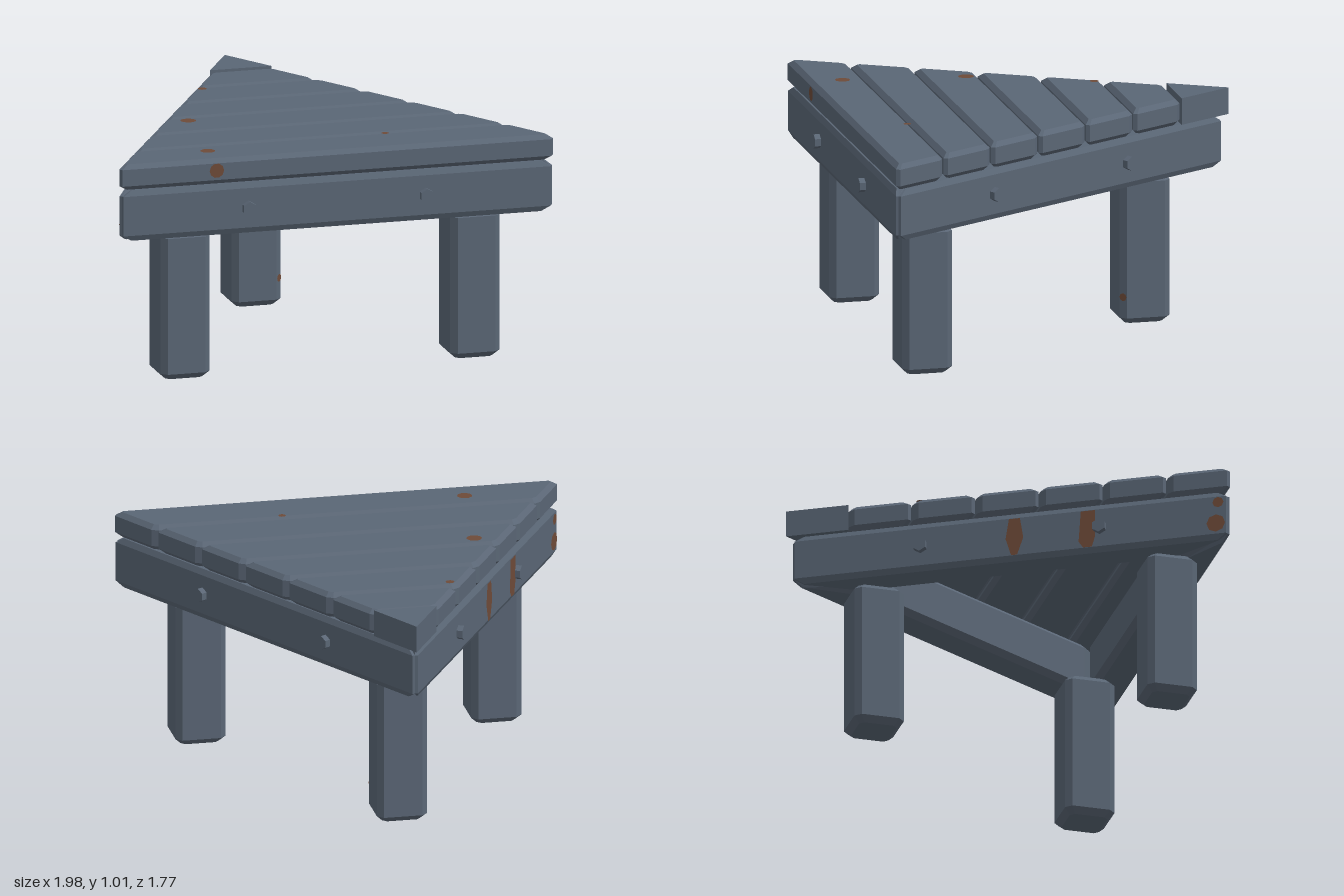
import * as THREE from 'three';

const slate = new THREE.MeshStandardMaterial({ color: 0x5a6675, flatShading: true });
slate.name = 'slate paint';
const rust = new THREE.MeshStandardMaterial({ color: 0x6e4a38, side: THREE.DoubleSide });
rust.name = 'rust';

// Move every corner of a convex outline inward by d (long mitres are capped)
function inset(poly, d) {
  const n = poly.length;
  return poly.map((p, i) => {
    const a = poly[(i + n - 1) % n].clone().sub(p).normalize();
    const b = poly[(i + 1) % n].clone().sub(p).normalize();
    const half = Math.acos(THREE.MathUtils.clamp(a.dot(b), -1, 1)) / 2;
    return p.clone().addScaledVector(a.add(b).normalize(), d * Math.min(1 / Math.sin(half), 2));
  });
}

// Replace every corner with a short straight cut
function cutCorners(poly, d) {
  const n = poly.length;
  return poly.flatMap((p, i) => [poly[(i + n - 1) % n], poly[(i + 1) % n]].map(
    q => p.clone().addScaledVector(q.clone().sub(p).normalize(), d)));
}

// Upright prism with chamfered edges; corners [x, z] run anticlockwise seen from above
function chamferedPrism(corners, y0, y1, c) {
  const base = corners.map(([x, z]) => new THREE.Vector2(x, -z));
  const wide = c ? cutCorners(base, c) : base;
  const narrow = c ? cutCorners(inset(base, c), c * 0.7) : base;
  const rings = c
    ? [[narrow, y0], [wide, y0 + c], [wide, y1 - c], [narrow, y1]]
    : [[wide, y0], [wide, y1]];
  const loops = rings.map(([poly, y]) => poly.map(p => [p.x, y, -p.y]));
  const n = wide.length, out = [];
  for (let r = 0; r + 1 < loops.length; r++) {
    const a = loops[r], b = loops[r + 1];
    for (let i = 0; i < n; i++) {
      const j = (i + 1) % n;
      out.push(...a[i], ...a[j], ...b[j], ...a[i], ...b[j], ...b[i]);
    }
  }
  const low = loops[0], top = loops[loops.length - 1];
  for (let i = 1; i + 1 < n; i++) {
    out.push(...top[0], ...top[i], ...top[i + 1], ...low[0], ...low[i + 1], ...low[i]);
  }
  const g = new THREE.BufferGeometry();
  g.setAttribute('position', new THREE.Float32BufferAttribute(out, 3));
  g.computeVertexNormals();
  return g;
}

function add(parent, name, geometry, material, x = 0, y = 0, z = 0) {
  const m = new THREE.Mesh(geometry, material);
  m.name = name;
  m.position.set(x, y, z);
  parent.add(m);
  return m;
}

export function createModel() {
  const model = new THREE.Group();
  model.name = 'triangularTable';

  // Top boards, narrowing toward the rear point
  const halfWidth = z => (z + 0.885) / 1.745;
  for (let i = 0; i < 6; i++) {
    const f = 0.86 - i * 0.25, b = f - 0.243;
    const F = halfWidth(f), B = halfWidth(b);
    add(model, 'topBoard', chamferedPrism([[-F, f], [F, f], [B, b], [-B, b]], 0.895, 1.01, 0.02), slate);
  }
  const tip = halfWidth(-0.64);
  add(model, 'tipBoard', chamferedPrism([[-tip, -0.64], [tip, -0.64], [0, -0.885]], 0.895, 1.015, 0), slate);

  // Three mitred apron beams with two hex bolts each
  const r = 0.577, t = 0.165, inner = 1 - t * Math.sqrt(3);
  const beam = chamferedPrism([[-1, r], [1, r], [inner, r - t], [-inner, r - t]], 0.665, 0.893, 0.025);
  const bolt = new THREE.CylinderGeometry(0.032, 0.032, 0.03, 6);
  const sides = [['front', 0], ['left', 1], ['right', -1]].map(([name, k]) => {
    const side = new THREE.Group();
    side.name = name + 'Apron';
    side.position.z = 0.283;
    side.rotation.y = k * Math.PI * 2 / 3;
    add(side, 'beam', beam, slate);
    for (const x of [-0.405, 0.405]) {
      add(side, 'bolt', bolt, slate, x, 0.78, r + 0.012).rotation.x = Math.PI / 2;
    }
    model.add(side);
    return side;
  });

  // Three square legs
  const h = 0.1125;
  const leg = chamferedPrism([[-h, h], [h, h], [h, -h], [-h, -h]], 0, 0.668, 0.027);
  for (const [x, z] of [[-0.662, 0.662], [0.662, 0.662], [0, -0.485]]) add(model, 'leg', leg, slate, x, 0, z);

  // Rust spots on the boards
  for (const [x, z, s] of [[-0.48, 0.18, 0.035], [-0.55, 0.72, 0.034], [-0.262, -0.345, 0.02], [0.285, 0.635, 0.017]]) {
    add(model, 'rustSpot', new THREE.CircleGeometry(s, 10), rust, x, 1.013, z).rotation.x = -Math.PI / 2;
  }
  add(model, 'rustSpot', new THREE.CircleGeometry(0.033, 10), rust, -0.55, 0.958, 0.863);

  // Rust spot on the corner of the rear leg
  add(model, 'rustSpot', new THREE.CircleGeometry(0.018, 8), rust, 0.101, 0.122, -0.384).rotation.y = Math.PI / 4;

  // Rust runs on the right apron
  const run = pts => new THREE.ShapeGeometry(new THREE.Shape(pts.map(p => new THREE.Vector2(...p))));
  const z = r + 0.003;
  add(sides[2], 'rustRun', run([[-0.025, 0.865], [-0.04, 0.77], [-0.015, 0.69], [0.012, 0.69], [0.04, 0.77], [0.025, 0.865]]), rust, 0.02, 0, z);
  add(sides[2], 'rustRun', run([[-0.03, 0.865], [-0.04, 0.72], [-0.02, 0.69], [0.02, 0.69], [0.035, 0.74], [0.035, 0.865]]), rust, 0.35, 0, z);
  add(sides[2], 'rustPatch', new THREE.CircleGeometry(0.042, 8), rust, 0.93, 0.74, z);
  add(sides[2], 'rustPatch', new THREE.CircleGeometry(0.025, 8), rust, 0.94, 0.84, z);

  return model;
}
